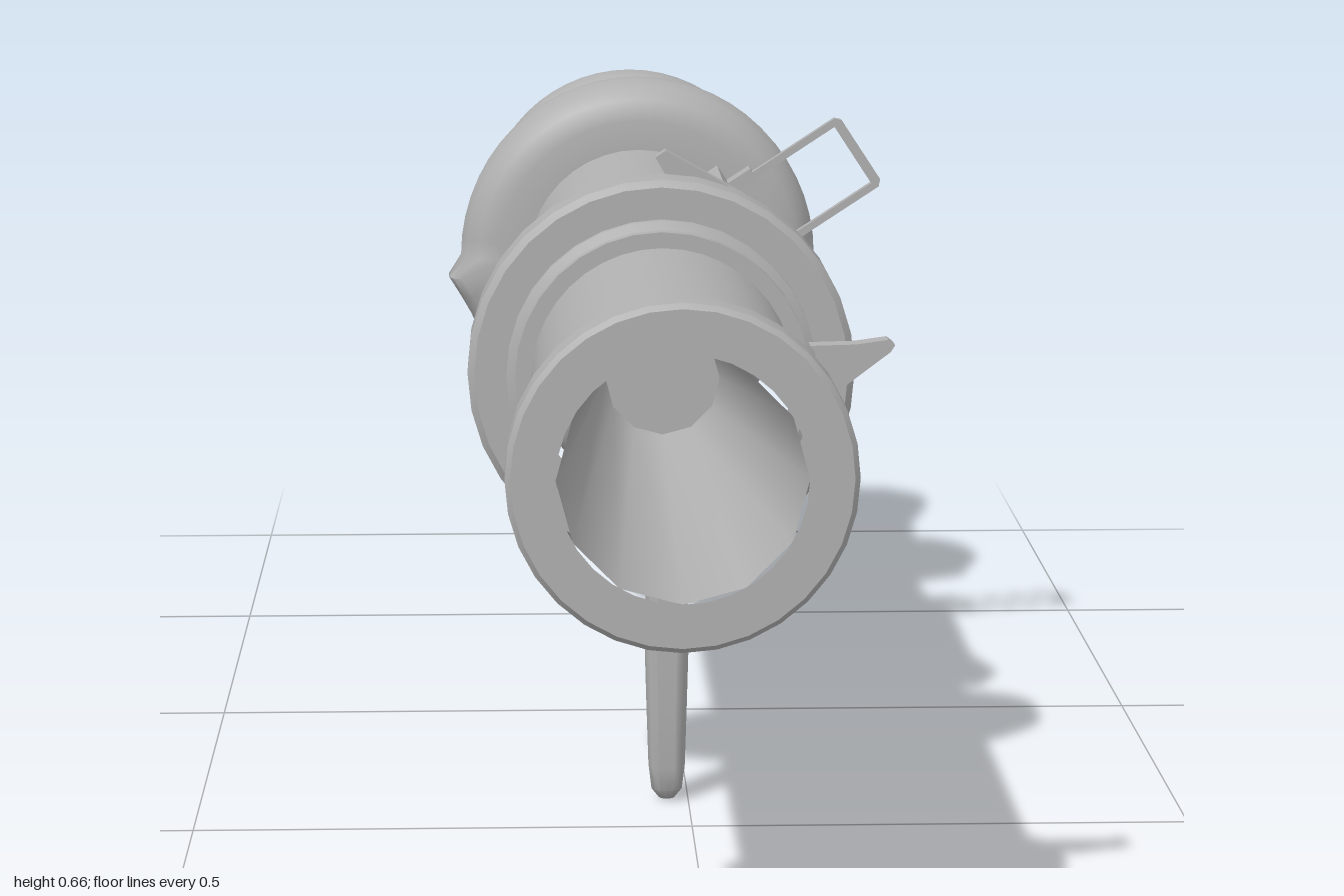
import * as THREE from 'three';
import { toCreasedNormals } from 'three/addons/utils/BufferGeometryUtils.js';

const AX = -0.028, AY = 0.452; // tube axis
const SIGHT_ANGLE = 0.58;      // direction the sights lean out from the axis

export function createModel() {
  const group = new THREE.Group();
  const grey = new THREE.MeshStandardMaterial({ color: 0xb0b0b0 });
  grey.name = 'grey';

  const add = (name, geo, parent, x = 0, y = 0, z = 0) => {
    const mesh = new THREE.Mesh(geo, grey);
    mesh.name = name;
    mesh.position.set(x, y, z);
    parent.add(mesh);
    return mesh;
  };
  const box = (name, w, h, d, parent, x, y, z) =>
    add(name, new THREE.BoxGeometry(w, h, d), parent, x, y, z);

  // Revolve a list of [radius, z] around the z axis
  const revolve = (profile, segments) => new THREE.LatheGeometry(
    profile.map(([r, z]) => new THREE.Vector2(r, z)), segments).rotateX(Math.PI / 2);
  const turned = (name, profile, segments = 32) =>
    add(name, toCreasedNormals(revolve(profile, segments), 0.6), body);

  const plate = (points, depth, holes = []) => {
    const shape = new THREE.Shape(points.map(p => new THREE.Vector2(...p)));
    holes.forEach(h => shape.holes.push(new THREE.Path(h.map(p => new THREE.Vector2(...p)))));
    return new THREE.ExtrudeGeometry(shape, { depth, bevelEnabled: false });
  };

  const body = new THREE.Group();
  body.name = 'body';
  body.position.set(AX, AY, 0);
  group.add(body);

  // Main tube, muzzle rim and tapering bore
  turned('tube', [[0.131, -0.88], [0.131, 0.96]], 40);
  turned('muzzleRim', [[0.13, 0.945], [0.152, 0.945], [0.157, 0.952], [0.157, 0.994],
    [0.152, 1], [0.112, 1]]);
  turned('bore', [[0.112, 1], [0.057, 0.45], [0, 0.45]], 12);

  // Front collar with stepped flanges
  turned('collarFlange', [[0.13, 0.318], [0.147, 0.318], [0.147, 0.335], [0.156, 0.34],
    [0.156, 0.43], [0.147, 0.434], [0.147, 0.45], [0.13, 0.45]]);
  turned('collarRing', [[0.15, 0.352], [0.188, 0.352], [0.195, 0.36], [0.195, 0.412],
    [0.188, 0.42], [0.15, 0.42]]);

  // Stepped end cap with a thin key
  turned('endCap', [[0, -0.985], [0.046, -0.985], [0.046, -0.962], [0.072, -0.962],
    [0.072, -0.948], [0.098, -0.948], [0.098, -0.932], [0.124, -0.932],
    [0.124, -0.916], [0.134, -0.912], [0.134, -0.88]], 28);
  box('endKey', 0.014, 0.08, 0.03, body, 0, 0, -0.985);

  // Padded rear cover: [z, radius, shoulder pad depth, pad side spread]
  const rows = [
    [-0.908, 0.125, 0, 0], [-0.908, 0.15, 0, 0], [-0.895, 0.168, 0.17, 0.14],
    [-0.875, 0.18, 0.225, 0.175], [-0.85, 0.184, 0.238, 0.18], [-0.82, 0.181, 0.24, 0.18],
    [-0.795, 0.17, 0.236, 0.172], [-0.775, 0.143, 0.233, 0.165], [-0.72, 0.134, 0.231, 0.16],
    [-0.64, 0.136, 0.229, 0.16], [-0.58, 0.146, 0.231, 0.168], [-0.55, 0.157, 0.234, 0.175],
    [-0.54, 0.185, 0.238, 0.19], [-0.52, 0.202, 0.241, 0.2], [-0.49, 0.21, 0.242, 0.205],
    [-0.46, 0.211, 0.242, 0.205], [-0.435, 0.204, 0.238, 0.2], [-0.418, 0.19, 0.228, 0.19],
    [-0.412, 0.165, 0.2, 0.165], [-0.412, 0.125, 0, 0],
  ];
  const cover = revolve(rows.map(([z, r]) => [r, z]), 56);
  const pos = cover.attributes.position;
  for (let i = 0; i < pos.count; i++) {
    const [, r, depth, side] = rows[i % rows.length];
    const a = Math.atan2(pos.getY(i), pos.getX(i));
    const c = Math.cos(a), s = Math.sin(a);
    if (s > -0.05 || !depth) continue;
    // flat underside meeting sloping flanks
    const under = depth / -s, flank = side / (0.848 * Math.abs(c) - 0.53 * s);
    const reach = Math.max(r, Math.min(under, flank));
    pos.setXY(i, c * reach, s * reach);
  }
  add('rearCover', toCreasedNormals(cover, 1.1), body);

  // Latch below the end cap
  box('latchPlate', 0.045, 0.075, 0.012, body, 0, -0.15, -0.922);
  box('latchBar', 0.03, 0.014, 0.075, body, 0, -0.195, -0.893);
  box('latchStop', 0.045, 0.02, 0.012, body, 0, -0.193, -0.926);

  // Grip: a slender tapering rod with a rounded tip
  const grip = [[0, 0.004], [0.008, 0.006], [0.016, 0.016], [0.019, 0.04], [0.021, 0.1],
    [0.023, 0.17], [0.0215, 0.23], [0.021, 0.27]].map(p => new THREE.Vector2(...p));
  add('grip', toCreasedNormals(new THREE.LatheGeometry(grip, 14), 0.9), group, -0.022, 0, 0.39);

  // Sight assembly: local +y points outward from the axis
  const sights = new THREE.Group();
  sights.name = 'sights';
  sights.rotation.z = SIGHT_ANGLE - Math.PI / 2;
  body.add(sights);
  box('sightRail', 0.14, 0.05, 0.345, sights, 0, 0.12, -0.02);
  add('sightFlange', plate([[-0.157, 0.105], [-0.07, 0.1], [0.07, 0.1], [0.157, 0.12],
    [0.15, 0.13], [0.07, 0.163], [-0.07, 0.163], [-0.157, 0.118]], 0.022), sights, 0, 0, 0.145);
  add('rearSightFrame', plate(
    [[-0.046, 0.13], [0.046, 0.13], [0.046, 0.285], [0.04, 0.291], [-0.04, 0.291], [-0.046, 0.285]],
    0.013, [[[-0.038, 0.15], [-0.038, 0.28], [0.038, 0.28], [0.038, 0.15]]]), sights, 0, 0, -0.168);
  for (const side of [-1, 1])
    box('sightHinge', 0.014, 0.04, 0.034, sights, side * 0.044, 0.155, -0.17);

  // Pointed bead at the muzzle
  add('muzzleSight', plate([[0.085, 0.567], [0.115, 0.53], [0.156, 0.561], [0.16, 0.567],
    [0.154, 0.572], [0.125, 0.568]], 0.022), group, 0, 0, 0.953);

  return group;
}
